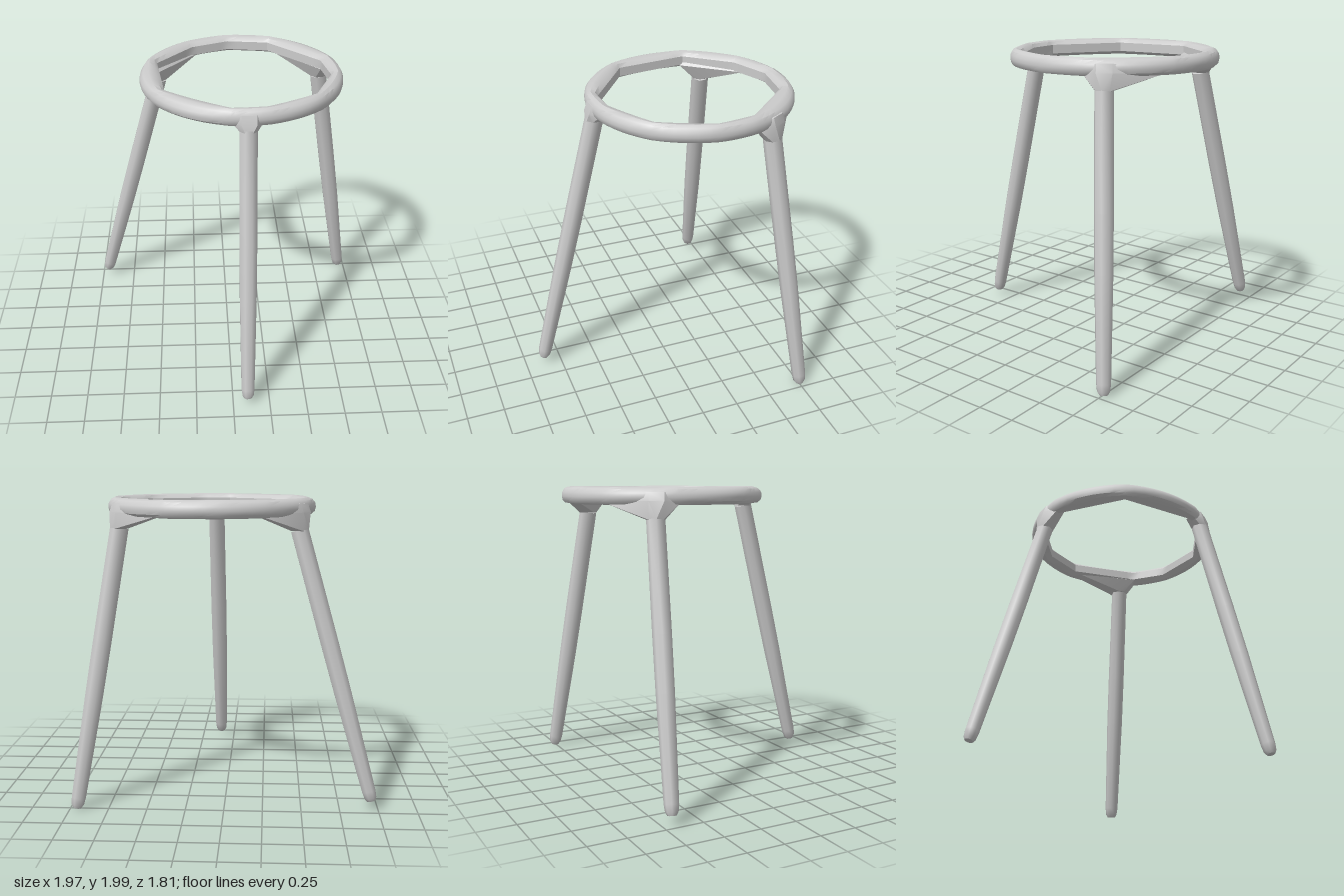
import * as THREE from 'three';
import { toCreasedNormals } from 'three/addons/utils/BufferGeometryUtils.js';
import { ConvexGeometry } from 'three/addons/geometries/ConvexGeometry.js';

const CX = 0.1, CZ = -0.225, OUTER = 0.685;
const V = (x, y, z) => new THREE.Vector3(x, y, z);
const rad = THREE.MathUtils.degToRad;
const onRing = (deg, r, y) => V(CX + r * Math.cos(rad(deg)), y, CZ + r * Math.sin(rad(deg)));

function part(name, geometry, crease) {
  const mesh = new THREE.Mesh(toCreasedNormals(geometry, crease),
    new THREE.MeshStandardMaterial({ color: 0xcccccc }));
  mesh.name = name;
  return mesh;
}

// Corners of the hand-cut inner edge, (x, z) around the ring centre
const HOLE = [[0.70, -0.16], [0.55, 0.18], [0.23, 0.355], [0.01, 0.37], [-0.41, 0.08],
  [-0.47, -0.41], [-0.23, -0.70], [0.03, -0.81], [0.32, -0.77], [0.66, -0.41]]
  .map(([x, z]) => [x - CX, z - CZ]);

// Distance from the centre to the inner edge in a given direction
function innerRadius(a) {
  const c = Math.cos(a), s = Math.sin(a);
  let best = Infinity;
  HOLE.forEach(([px, pz], i) => {
    const [qx, qz] = HOLE[(i + 1) % HOLE.length];
    const ex = qx - px, ez = qz - pz, d = c * ez - s * ex;
    const r = (px * ez - pz * ex) / d, t = (px * s - pz * c) / d;
    if (r > 0 && t > -1e-6 && t < 1 + 1e-6) best = Math.min(best, r);
  });
  return best;
}

// Rounded ring: circular outside, faceted inside
function ringGeometry() {
  const profile = [[0, 1.905], [0, 1.965], [0.22, 1.988], [0.55, 1.995], [0.82, 1.982],
    [0.97, 1.957], [1, 1.93], [0.95, 1.905], [0.8, 1.888], [0.4, 1.882]];
  const angles = HOLE.map(([x, z]) => (Math.atan2(z, x) + 2 * Math.PI) % (2 * Math.PI));
  for (let i = 0; i < 60; i++) {
    const a = i / 60 * Math.PI * 2;
    if (angles.every(b => Math.abs(a - b) > 0.03)) angles.push(a);
  }
  angles.sort((a, b) => a - b);
  const pos = [], idx = [], m = profile.length, n = angles.length;
  for (const a of angles) {
    const inner = innerRadius(a);
    for (const [u, y] of profile) {
      const r = inner + u * (OUTER - inner);
      pos.push(CX + r * Math.cos(a), y, CZ + r * Math.sin(a));
    }
  }
  for (let i = 0; i < n; i++) for (let j = 0; j < m; j++) {
    const i2 = (i + 1) % n, j2 = (j + 1) % m;
    const a = i * m + j, b = i2 * m + j, c = i2 * m + j2, d = i * m + j2;
    idx.push(a, b, c, a, c, d);
  }
  const g = new THREE.BufferGeometry();
  g.setAttribute('position', new THREE.Float32BufferAttribute(pos, 3));
  g.setIndex(idx);
  return g;
}

// Leg: tapering eight-sided rod with a blunt rounded foot
function legGeometry(foot, top) {
  const dir = top.clone().sub(foot), len = dir.length();
  const profile = [[0, 0], [0.028, 0], [0.041, 0.022], [0.047, 0.07], [0.059, 0.4 * len],
    [0.061, 0.6 * len], [0.06, len], [0, len]].map(p => new THREE.Vector2(...p));
  const g = new THREE.LatheGeometry(profile, 8, Math.PI / 8);
  g.applyQuaternion(new THREE.Quaternion().setFromUnitVectors(V(0, 1, 0), dir.normalize()));
  return g.translate(foot.x, foot.y, foot.z);
}

// Joint: flares from the top of the leg into the underside of the ring
function jointGeometry(top, from, to, mid) {
  const pts = [];
  for (let i = 0; i < 8; i++) {
    const a = (i + 0.5) * Math.PI / 4;
    pts.push(V(top.x + 0.061 * Math.cos(a), top.y - 0.005, top.z + 0.061 * Math.sin(a)));
  }
  for (const deg of [from, to])
    pts.push(onRing(deg, 0.595, 1.9), onRing(deg, 0.655, 1.9), onRing(deg, 0.64, 1.93));
  for (const d of [-4, 4])
    pts.push(onRing(mid + d, 0.685, 1.965), onRing(mid + d, 0.6, 1.965), onRing(mid + d, 0.705, 1.91));
  return new ConvexGeometry(pts);
}

export function createModel() {
  const group = new THREE.Group();
  group.name = 'stool';
  group.add(part('seatRing', ringGeometry(), 0.6));

  const legs = [
    { name: 'front', foot: V(0.1, 0.05, 0.87), top: V(0.11, 1.86, 0.43), from: 81, to: 98, mid: 89 },
    { name: 'backRight', foot: V(-0.955, 0.065, -0.69), top: V(-0.47, 1.8, -0.55), from: 196, to: 241, mid: 209 },
    { name: 'backLeft', foot: V(0.955, 0.008, -0.755), top: V(0.67, 1.81, -0.55), from: 296, to: 342, mid: 330 },
  ];
  for (const { name, foot, top, from, to, mid } of legs) {
    group.add(part(name + 'Leg', legGeometry(foot, top), 0.9));
    group.add(part(name + 'Joint', jointGeometry(top, from, to, mid), 0.5));
  }
  return group;
}
